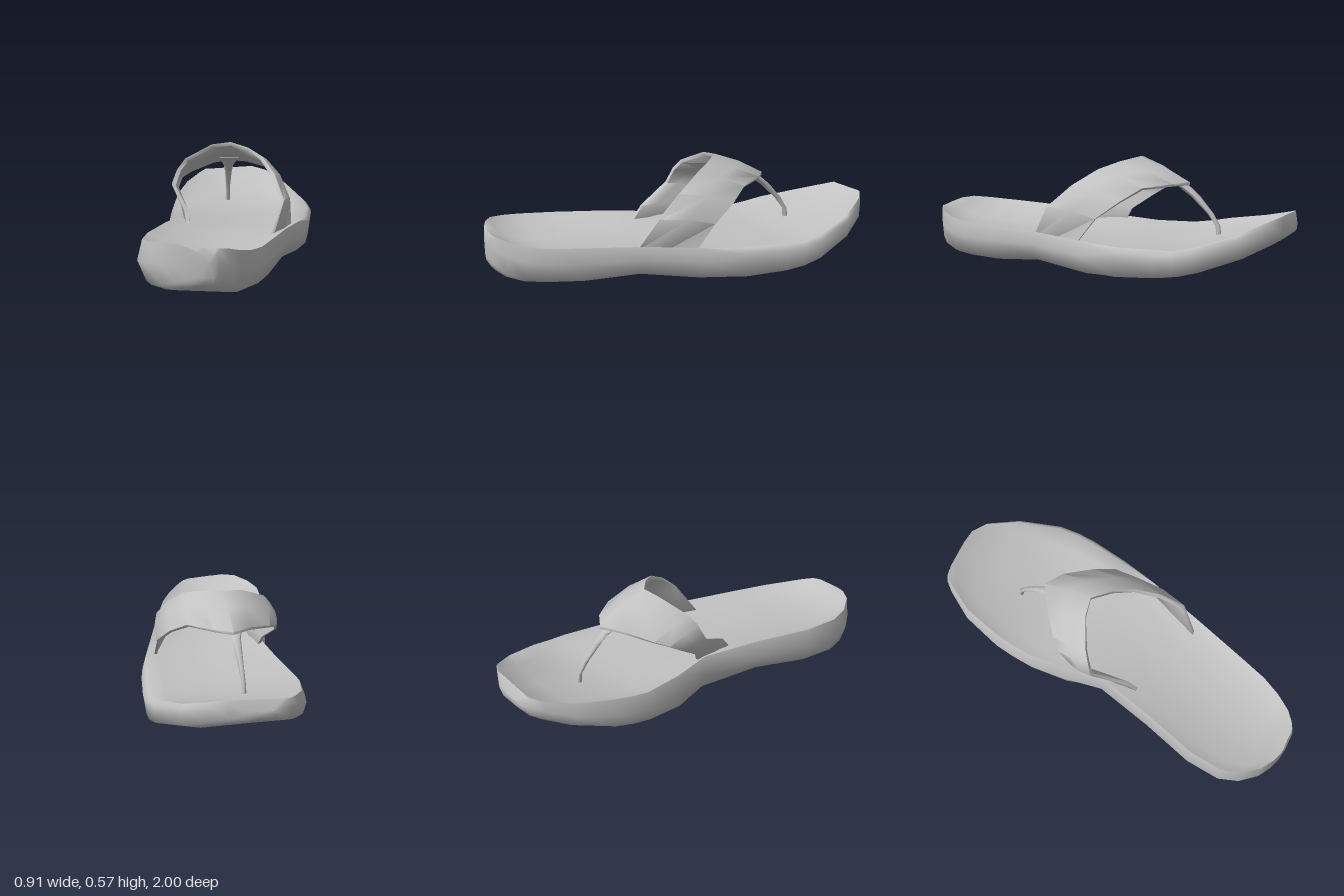
import * as THREE from 'three';
import { toCreasedNormals } from 'three/addons/utils/BufferGeometryUtils.js';

// Skins a list of closed rings and caps both ends
function loft(rings, crease) {
  const n = rings[0].length, pos = rings.flat(2), idx = [];
  for (let i = 0; i < rings.length - 1; i++) {
    for (let j = 0; j < n; j++) {
      const a = i * n + j, b = i * n + (j + 1) % n;
      idx.push(a, b, b + n, a, b + n, a + n);
    }
  }
  [0, rings.length - 1].forEach((r, end) => {
    const c = pos.length / 3;
    for (let k = 0; k < 3; k++) pos.push(rings[r].reduce((s, p) => s + p[k], 0) / n);
    for (let j = 0; j < n; j++) {
      const a = r * n + j, b = r * n + (j + 1) % n;
      if (end) idx.push(c, a, b); else idx.push(c, b, a);
    }
  });
  const g = new THREE.BufferGeometry();
  g.setAttribute('position', new THREE.Float32BufferAttribute(pos, 3));
  g.setIndex(idx);
  return toCreasedNormals(g, crease);
}

export function createModel() {
  const group = new THREE.Group();
  const grey = new THREE.MeshStandardMaterial({ color: 0xc2c2c2 });
  grey.name = 'grey rubber';
  const add = (name, geometry) => {
    const m = new THREE.Mesh(geometry, grey);
    m.name = name;
    group.add(m);
  };

  // Sole stations, toe to heel:
  // z, x at -x and +x side, bottom y at -x and +x side, rim y at -x and +x side, dish depth
  const stations = [
    [-1.00, -0.06, 0.10, 0.24, 0.24, 0.275, 0.28, 0.00],
    [-0.975, -0.14, 0.16, 0.215, 0.22, 0.32, 0.333, 0.00],
    [-0.93, -0.18, 0.24, 0.19, 0.195, 0.305, 0.317, 0.02],
    [-0.80, -0.26, 0.35, 0.13, 0.13, 0.27, 0.26, 0.035],
    [-0.60, -0.315, 0.44, 0.06, 0.06, 0.235, 0.20, 0.03],
    [-0.50, -0.325, 0.455, 0.035, 0.035, 0.215, 0.18, 0.025],
    [-0.40, -0.33, 0.45, 0.02, 0.02, 0.20, 0.178, 0.02],
    [-0.20, -0.31, 0.42, 0.00, 0.005, 0.20, 0.172, 0.018],
    [0.00, -0.28, 0.38, 0.005, 0.005, 0.22, 0.185, 0.022],
    [0.30, -0.36, 0.285, 0.04, 0.035, 0.235, 0.20, 0.035],
    [0.57, -0.44, 0.20, 0.02, 0.005, 0.235, 0.20, 0.042],
    [0.75, -0.457, 0.14, 0.02, 0.005, 0.24, 0.20, 0.042],
    [0.85, -0.425, 0.085, 0.025, 0.01, 0.25, 0.207, 0.038],
    [0.93, -0.36, 0.02, 0.04, 0.03, 0.262, 0.224, 0.025],
    [0.97, -0.29, -0.035, 0.06, 0.055, 0.26, 0.24, 0.008],
    [0.99, -0.23, -0.075, 0.08, 0.075, 0.25, 0.243, 0.00],
    [1.00, -0.17, -0.09, 0.11, 0.11, 0.22, 0.22, 0.00],
  ];
  add('sole', loft(stations.map(([z, xl, xr, bl, br, yl, yr, dish]) => {
    const c = (xl + xr) / 2, w = (xr - xl) / 2;
    const p = (u, y) => [c + u * w, y, z];
    const bm = (bl + br) / 2, ym = (yl + yr) / 2;
    // Forefoot walls stand nearly upright; heel walls are rounded below
    const fore = z < 0;
    return [
      p(-1, bl + (yl - bl) * 0.55), p(fore ? -0.95 : -0.86, bl + 0.022), p(fore ? -0.82 : -0.6, bl), p(0, bm), p(0.68, br),
      p(fore ? 0.96 : 0.88, br + 0.022), p(1, br + (yr - br) * (fore ? 0.85 : 0.6)),
      p(0.94, yr), p(0.72, yr - dish * 0.75), p(0, ym - dish), p(-0.72, yl - dish * 0.75), p(-0.92, yl),
    ];
  }), 1.35));

  // Strap: paired points on the heel-side edge and the toe-side edge, from -x to +x
  const heelEdge = [
    [-0.23, 0.18, 0.20], [-0.245, 0.27, 0.13], [-0.31, 0.37, -0.04], [-0.28, 0.45, -0.07], [-0.24, 0.50, -0.10],
    [-0.10, 0.565, -0.17], [0.00, 0.575, -0.19], [0.09, 0.555, -0.11],
    [0.16, 0.52, -0.02], [0.22, 0.44, 0.10], [0.26, 0.33, 0.22], [0.20, 0.16, 0.32],
  ];
  const toeEdge = [
    [-0.23, 0.17, -0.02], [-0.26, 0.26, -0.06], [-0.29, 0.34, -0.17], [-0.27, 0.385, -0.24], [-0.22, 0.41, -0.30],
    [-0.09, 0.45, -0.40], [0.01, 0.455, -0.46], [0.10, 0.455, -0.40],
    [0.20, 0.44, -0.27], [0.27, 0.38, -0.18], [0.31, 0.29, -0.06], [0.31, 0.15, 0.05],
  ];
  const inset = ([x, y, z], d) => {
    const dy = Math.max(y - 0.25, 0), l = Math.hypot(x, dy) || 1;
    return [x - d * x / l, y - d * dy / l, z];
  };
  add('strap', loft(heelEdge.map((h, i) => {
    const t = toeEdge[i];
    const m = h.map((v, k) => (v + t[k]) / 2);
    m[0] *= 1.04;
    m[1] += 0.012;
    return [t, m, h, inset(h, 0.02), inset(m, 0.028), inset(t, 0.015)];
  }), 1.3));

  // Toe post: flared under the strap and tapering into the sole; y, z, x radius, z radius
  const post = [
    [0.468, -0.36, 0.07, 0.015], [0.445, -0.41, 0.042, 0.025], [0.42, -0.44, 0.027, 0.03],
    [0.38, -0.49, 0.02, 0.025], [0.30, -0.565, 0.013, 0.017], [0.24, -0.605, 0.011, 0.012],
    [0.15, -0.615, 0.015, 0.015],
  ];
  add('toePost', loft(post.map(([y, z, rx, rz]) => Array.from({ length: 6 }, (_, k) => {
    const a = k * Math.PI / 3;
    return [-0.005 + rx * Math.cos(a), y, z + rz * Math.sin(a)];
  })), 1.2));

  return group;
}
